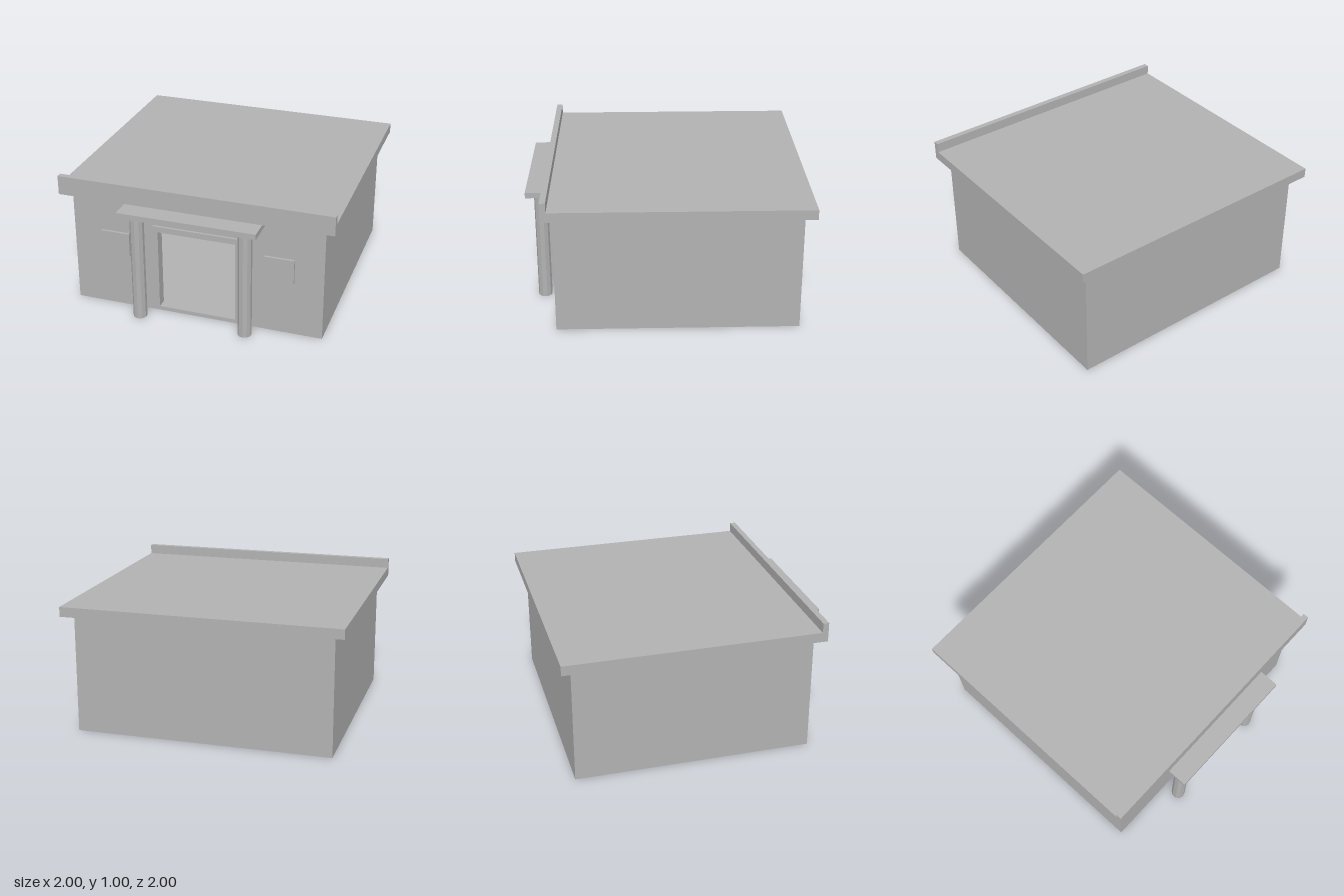
import * as THREE from 'three';

export function createModel() {
  const group = new THREE.Group();
  const plaster = new THREE.MeshStandardMaterial({ color: 0xb2b2b2 });
  plaster.name = 'grey plaster';

  const add = (name, geometry) => {
    const mesh = new THREE.Mesh(geometry, plaster);
    mesh.name = name;
    group.add(mesh);
    return mesh;
  };
  // Box given by its minimum and maximum on each axis
  const box = (name, x0, x1, y0, y1, z0, z1) =>
    add(name, new THREE.BoxGeometry(x1 - x0, y1 - y0, z1 - z0))
      .position.set((x0 + x1) / 2, (y0 + y1) / 2, (z0 + z1) / 2);

  const W = 0.925, T = 0.075, H = 0.86, FRONT = 0.785, BACK = -0.925, FLOOR = 0.03;

  // Front wall with an open doorway
  const wall = new THREE.Shape([
    new THREE.Vector2(-W, 0), new THREE.Vector2(W, 0),
    new THREE.Vector2(W, H), new THREE.Vector2(-W, H),
  ]);
  wall.holes.push(new THREE.Path([
    new THREE.Vector2(-0.287, FLOOR), new THREE.Vector2(-0.287, 0.647),
    new THREE.Vector2(0.287, 0.647), new THREE.Vector2(0.287, FLOOR),
  ]));
  add('frontWall', new THREE.ExtrudeGeometry(wall, { depth: T, bevelEnabled: false }))
    .position.z = FRONT - T;

  // Remaining walls and floor of the hollow room
  box('backWall', -W, W, 0, H, BACK, BACK + T);
  box('floor', -W + T, W - T, 0, FLOOR, BACK + T, FRONT - T);

  // Roof slab with a raised parapet along the front
  box('roof', -1, 1, H, 0.93, -1, 0.815);
  box('parapet', -1, 1, H, 1, 0.815, 0.857);

  // Porch canopy and door lintel
  box('canopy', -0.5, 0.5, 0.82, H, FRONT, 1);
  box('lintel', -0.318, 0.318, 0.647, 0.69, FRONT, 0.803);

  // Mirrored side walls, window panels and ten-sided columns
  for (const [side, s] of [['left', 1], ['right', -1]]) {
    const span = (a, b) => (s > 0 ? [a, b] : [-b, -a]);
    box(side + 'Wall', ...span(W - T, W), 0, H, BACK + T, FRONT - T);
    box(side + 'WindowPanel', ...span(0.5, 0.715), 0.415, 0.592, FRONT, 0.803);
    const column = new THREE.CylinderGeometry(0.05, 0.05, 0.82, 10).toNonIndexed();
    column.computeVertexNormals();
    add(side + 'Column', column).position.set(s * 0.394, 0.41, 0.896);
  }
  return group;
}
